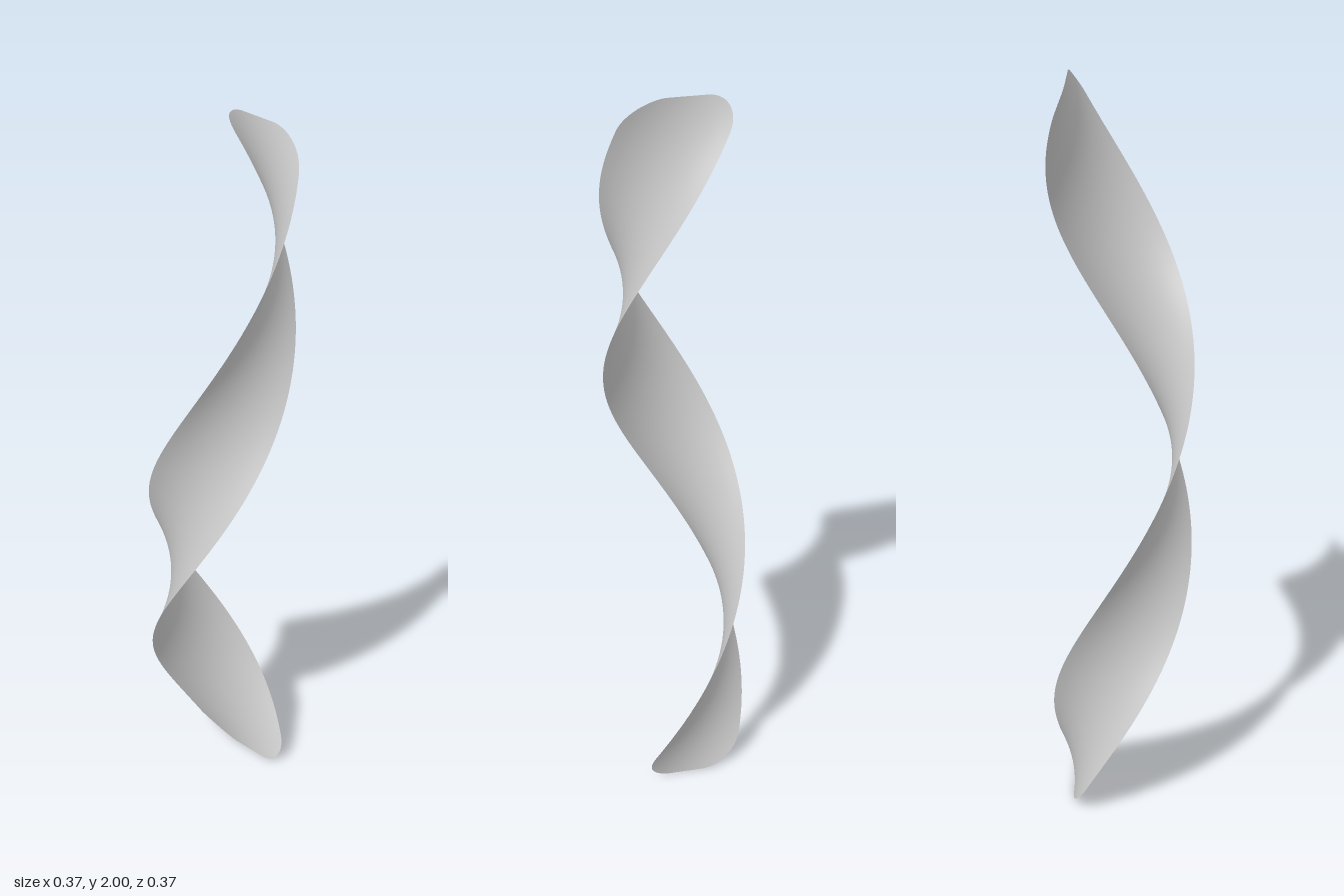
import * as THREE from 'three';

const HEIGHT = 2;
const RADIUS = 0.131; // distance of the ribbon's midline from the axis
const HALF_WIDTH = 0.131;
const CORNER = 0.086; // rounding of the ribbon's ends

// Half width at height y, narrowing in a quarter circle at both ends
function halfWidthAt(y) {
  const d = Math.min(y, HEIGHT - y, CORNER);
  const inset = CORNER - Math.max(d, 0);
  return HALF_WIDTH - CORNER + Math.sqrt(CORNER * CORNER - inset * inset);
}

export function createModel() {
  const group = new THREE.Group();
  group.name = 'twistedRibbon';

  // Flat sheet wound one full turn around the vertical axis, always tangent to it
  const geometry = new THREE.PlaneGeometry(2, 2, 12, 240);
  const pos = geometry.attributes.position;
  for (let i = 0; i < pos.count; i++) {
    const y = 1 + Math.sin(pos.getY(i) * Math.PI / 2); // rows crowd towards the ends
    const s = pos.getX(i) * halfWidthAt(y);
    const a = Math.PI * y;
    pos.setXYZ(i,
      -RADIUS * Math.sin(a) + s * Math.cos(a),
      y,
      -RADIUS * Math.cos(a) - s * Math.sin(a));
  }
  geometry.computeVertexNormals();

  const ribbon = new THREE.Mesh(geometry, new THREE.MeshStandardMaterial({
    color: 0xcccccc, side: THREE.DoubleSide,
  }));
  ribbon.name = 'ribbon';
  group.add(ribbon);
  return group;
}
